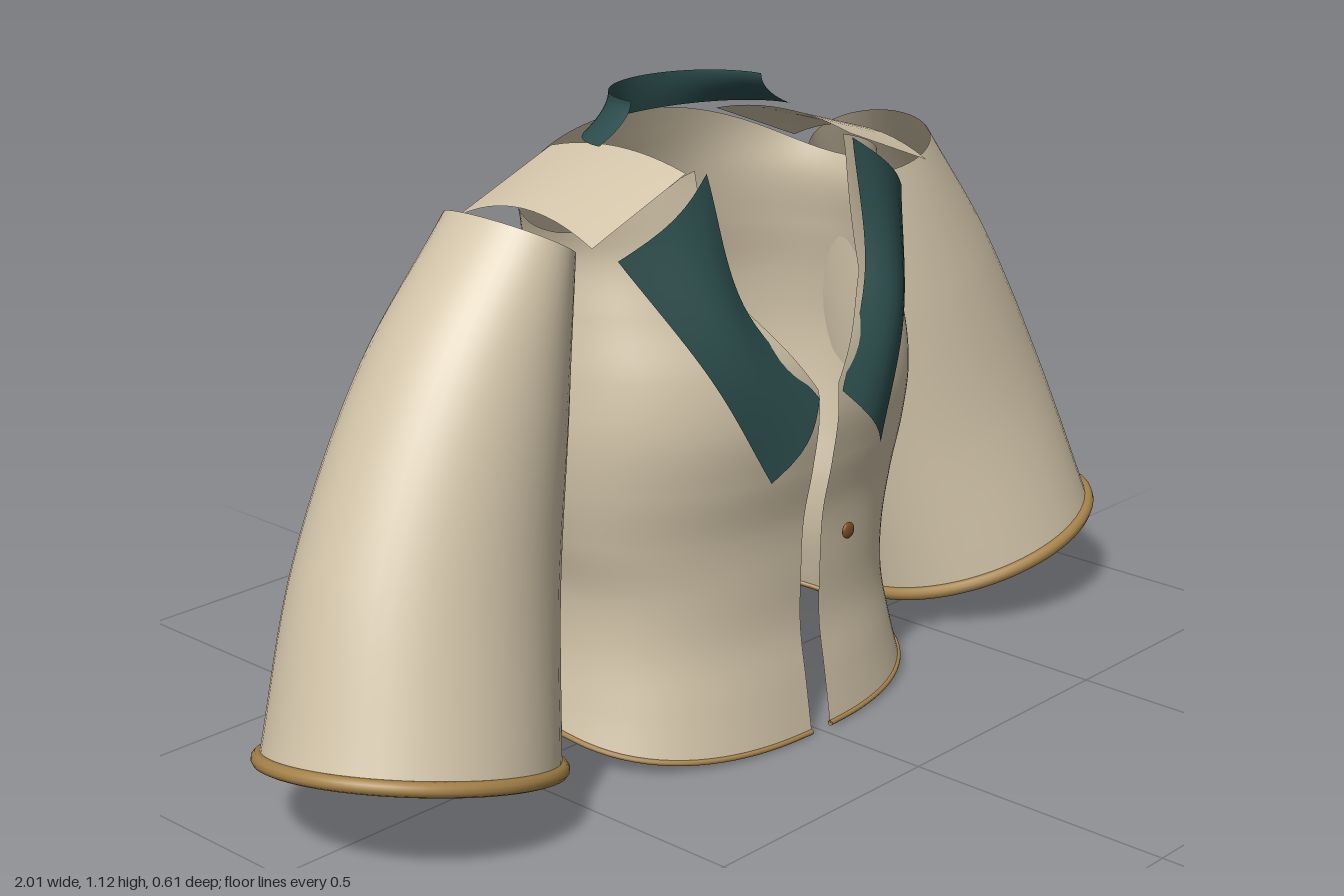
import * as THREE from 'three';
import { ParametricGeometry } from 'three/addons/geometries/ParametricGeometry.js';

const V = (x, y, z) => new THREE.Vector3(x, y, z);
const { lerp } = THREE.MathUtils;

const material = (color) => new THREE.MeshStandardMaterial({ color, side: THREE.DoubleSide });
const cloth = material(0xd2c4a9);
const teal = material(0x2b4d4c);
const gold = material(0xa58248);
const brown = material(0x7a4c26);

// Torso half width, front depth and back depth at every 0.1 of height
const torsoProfile = new THREE.CatmullRomCurve3([
  V(0.415, 0.28, 0.31), V(0.385, 0.265, 0.295), V(0.365, 0.25, 0.27), V(0.365, 0.25, 0.275),
  V(0.388, 0.255, 0.285), V(0.405, 0.275, 0.295), V(0.41, 0.288, 0.297), V(0.4, 0.275, 0.29),
  V(0.382, 0.235, 0.265), V(0.37, 0.2, 0.245), V(0.4, 0.17, 0.215), V(0.4, 0.15, 0.185),
], false, 'catmullrom');

// Half width of the front opening: a narrow slit, then the V neck
function openingAt(y) {
  if (y < 0.63) return 0.025;
  if (y < 0.8) return lerp(0.025, 0.155, (y - 0.63) / 0.17);
  return lerp(0.155, 0.19, Math.min(1, (y - 0.8) / 0.2));
}

function torsoPoint(u, v, target) {
  const yEdge = lerp(0.005, 1.03, v);
  const edge = torsoProfile.getPoint(yEdge / 1.1);
  const start = Math.asin(Math.pow(openingAt(yEdge) / edge.x, 1.2));
  const a = lerp(start, 2 * Math.PI - start, u);
  const s = Math.sin(a), c = Math.cos(a);
  // the hem dips at the front, the top edge dips at the shoulders
  const y = lerp(0.055 - 0.05 * c, 0.94 + 0.11 * c * c, v);
  const p = torsoProfile.getPoint(y / 1.1);
  const e = c > 0 ? 2 / 2.4 : 2 / 2.1;
  return target.set(
    p.x * Math.sign(s) * Math.pow(Math.abs(s), e),
    y,
    (c > 0 ? p.y : -p.z) * Math.pow(Math.abs(c), e));
}

function surface(name, fn, nu, nv, mat) {
  const mesh = new THREE.Mesh(new ParametricGeometry(fn, nu, nv), mat);
  mesh.name = name;
  return mesh;
}

function piping(name, points, radius, closed) {
  const curve = new THREE.CatmullRomCurve3(points, closed);
  const mesh = new THREE.Mesh(new THREE.TubeGeometry(curve, 96, radius, 10, closed), gold);
  mesh.name = name;
  return mesh;
}

// Sleeve outer edge, inner edge, and (centre z, half depth) from shoulder to cuff
const sleeveOuter = new THREE.CatmullRomCurve3([V(0.54, 0.995, 0), V(0.72, 0.775, 0), V(0.885, 0.48, 0), V(0.99, 0.182, 0)]);
const sleeveInner = new THREE.CatmullRomCurve3([V(0.378, 0.905, 0), V(0.395, 0.63, 0), V(0.435, 0.34, 0), V(0.488, 0.05, 0)]);
const sleeveDepth = new THREE.CatmullRomCurve3([V(-0.01, 0.13, 0), V(-0.02, 0.177, 0), V(-0.008, 0.207, 0), V(0.027, 0.24, 0)], false, 'catmullrom');

function sleevePoint(side, u, v, target) {
  const o = sleeveOuter.getPoint(v), i = sleeveInner.getPoint(v), d = sleeveDepth.getPoint(v);
  const a = u * 2 * Math.PI, k = (1 + Math.cos(a)) / 2, s = Math.sin(a);
  return target.set(side * lerp(i.x, o.x, k), lerp(i.y, o.y, k) + 0.035 * v * s, d.x + d.y * s);
}

// Lapel edges from collar to tip
const lapelInner = new THREE.CatmullRomCurve3([V(0.187, 1.03, 0.175), V(0.158, 0.81, 0.232), V(0.03, 0.63, 0.292)]);
const lapelOuter = new THREE.CatmullRomCurve3([V(0.365, 0.91, 0.144), V(0.25, 0.7, 0.247), V(0.145, 0.505, 0.285)]);

function sidePieces(side, label) {
  const group = new THREE.Group();
  group.name = label + 'Side';

  group.add(surface(label + 'Sleeve', (u, v, t) => sleevePoint(side, u, v, t), 48, 24, cloth));
  const cuff = [];
  for (let i = 0; i < 32; i++) cuff.push(sleevePoint(side, i / 32, 1, V()));
  group.add(piping(label + 'CuffTrim', cuff, 0.013, true));

  group.add(surface(label + 'Lapel', (u, v, t) => {
    t.lerpVectors(lapelInner.getPoint(v), lapelOuter.getPoint(v), u);
    t.z += 0.025 * Math.sin(u * Math.PI);
    t.x *= side;
  }, 8, 20, teal));

  // shoulder yoke: a sloping panel, arched from front to back
  group.add(surface(label + 'ShoulderYoke', (u, v, t) => {
    const w = 2 * v - 1;
    t.set(side * lerp(0.21, 0.43, u),
      lerp(1.03, 0.945, u) + lerp(0.022, 0.04, u) * (1 - w * w),
      lerp(-0.167, 0.15, v));
  }, 8, 12, cloth));
  return group;
}

export function createModel() {
  const model = new THREE.Group();
  model.name = 'jacket';

  // Body and hem
  model.add(surface('torso', torsoPoint, 96, 80, cloth));
  const hem = [];
  for (let i = 0; i <= 48; i++) hem.push(torsoPoint(i / 48, 0, V()));
  model.add(piping('hemTrim', hem, 0.005, false));

  model.add(sidePieces(1, 'left'), sidePieces(-1, 'right'));

  // Collar: half ring round the back of the neck, flaring at its ends
  model.add(surface('collar', (u, v, t) => {
    const a = u * Math.PI, flare = v * v;
    t.set((0.165 + 0.077 * flare) * Math.cos(a), lerp(1.12, 1.055, v), -0.018 - (0.143 + 0.005 * flare) * Math.sin(a));
  }, 40, 10, teal));

  // Button
  const button = new THREE.Mesh(new THREE.SphereGeometry(0.015, 20, 14), brown);
  button.name = 'button';
  button.scale.z = 0.4;
  button.position.set(0.045, 0.372, 0.297);
  model.add(button);

  return model;
}
